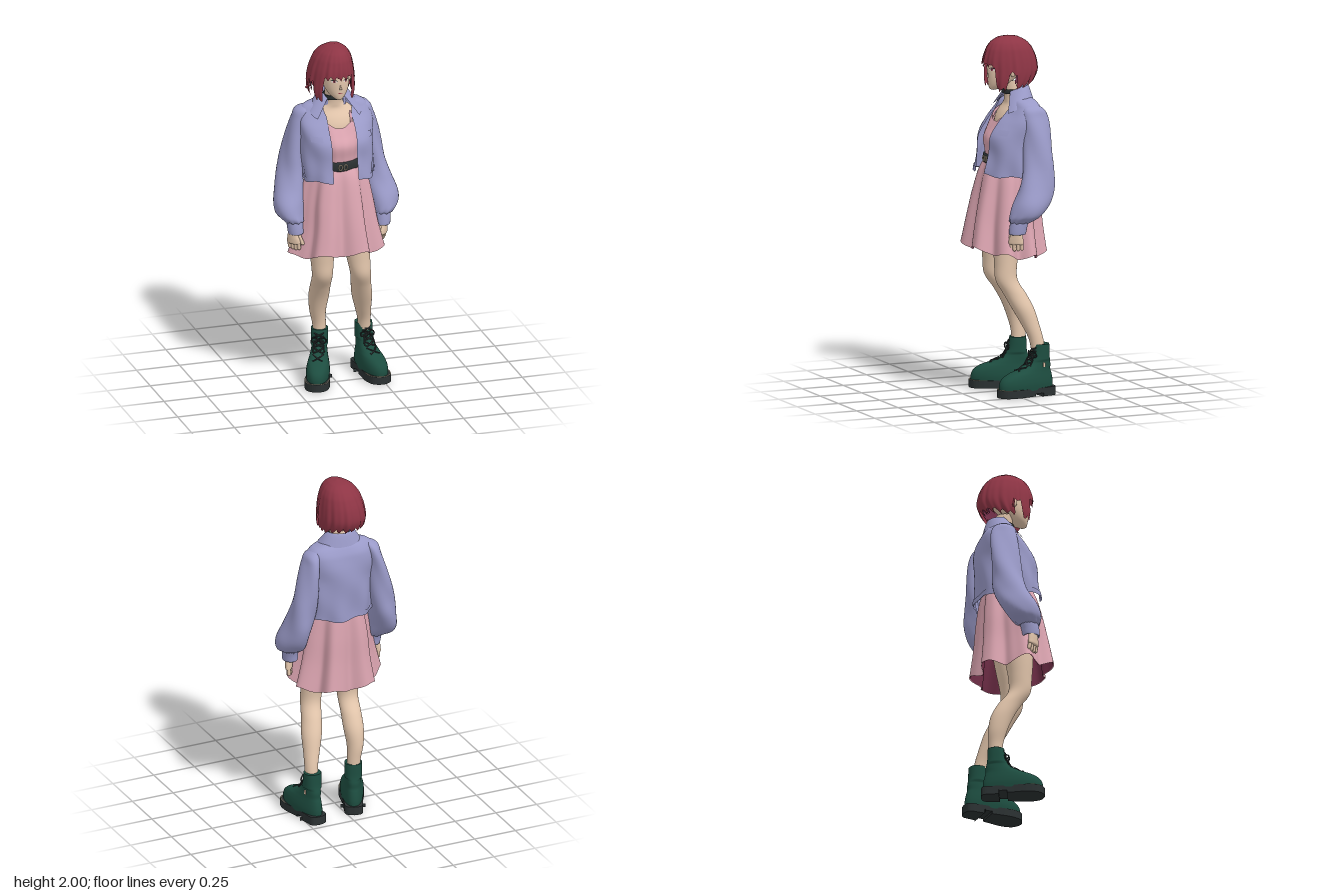
import * as THREE from 'three';

const mat = (name, color, side = THREE.FrontSide) => Object.assign(new THREE.MeshStandardMaterial({ color, side }), { name });
const M = {
  skin: mat('skin', 0xe2c5ab),
  hair: mat('red hair', 0x8e3545, THREE.DoubleSide),
  jacket: mat('lavender cloth', 0x9a9ac8, THREE.DoubleSide),
  dress: mat('pink cloth', 0xdba4b0, THREE.DoubleSide),
  lining: mat('maroon lining', 0x74304a, THREE.DoubleSide),
  boot: mat('green leather', 0x1d4d40),
  dark: mat('dark leather', 0x2b3132, THREE.DoubleSide),
  metal: mat('pale metal', 0xc2b59a),
  white: mat('eye white', 0xf0e6de),
};
const { sin, cos, abs, sign, PI, min, max, floor } = Math;
const smooth = THREE.MathUtils.smoothstep;

// Grid surface from fn(u, v); v runs upwards, u anticlockwise seen from above
function surface(fn, nu, nv, closed = true) {
  const cols = closed ? nu : nu + 1, pos = [], idx = [];
  for (let j = 0; j <= nv; j++) for (let i = 0; i < cols; i++) pos.push(...fn(i / nu, j / nv));
  for (let j = 0; j < nv; j++) for (let i = 0; i < nu; i++) {
    const k = (i + 1) % cols, a = j * cols + i, b = j * cols + k;
    idx.push(a, b, b + cols, a, b + cols, a + cols);
  }
  const g = new THREE.BufferGeometry();
  g.setAttribute('position', new THREE.Float32BufferAttribute(pos, 3));
  g.setIndex(idx);
  g.computeVertexNormals();
  return g;
}
// Smooth blend along rows of [cx, y, cz, rx, rz]
function sample(rows, t) {
  const n = rows.length, f = t * (n - 1), i = min(floor(f), n - 2), k = f - i;
  return rows[0].map((_, c) => {
    const [p, q, r, s] = [-1, 0, 1, 2].map(d => rows[min(n - 1, max(0, i + d))][c]);
    return q + 0.5 * k * (r - p + k * (2 * p - 5 * q + 4 * r - s + k * (3 * (q - r) + s - p)));
  });
}
function sampleY(rows, y) {
  let i = 0;
  while (i < rows.length - 2 && rows[i + 1][1] < y) i++;
  const k = THREE.MathUtils.clamp((y - rows[i][1]) / (rows[i + 1][1] - rows[i][1]), 0, 1);
  const r = sample(rows, (i + k) / (rows.length - 1));
  r[1] = y;
  return r;
}
const ringPoint = ([cx, y, cz, rx, rz], a, e = 2, off = 0) => [
  cx + (rx + off) * sign(sin(a)) * abs(sin(a)) ** (2 / e), y,
  cz + (rz + off) * sign(cos(a)) * abs(cos(a)) ** (2 / e)];
const loft = (rows, nv = 30, e = 2, bump = () => 0, nu = 36) =>
  surface((u, v) => ringPoint(sample(rows, v), u * 2 * PI, e, bump(u * 2 * PI, v)), nu, nv);
const cord = (pts, r) => new THREE.TubeGeometry(new THREE.CatmullRomCurve3(pts.map(p => new THREE.Vector3(...p))), 16, r, 6);

function add(parent, name, geo, material, pos = [0, 0, 0], rot = [0, 0, 0], scale = [1, 1, 1]) {
  const m = new THREE.Mesh(geo, material);
  m.name = name;
  m.position.set(...pos); m.rotation.set(...rot); m.scale.set(...scale);
  parent.add(m);
}

const headRows = [[-.005, 1.697, .058, .002, .002], [-.005, 1.705, .052, .02, .03], [-.005, 1.73, .03, .048, .06], [-.005, 1.77, .008, .069, .085],
  [-.007, 1.82, -.015, .078, .108], [-.01, 1.88, -.032, .08, .118], [-.01, 1.94, -.035, .07, .095], [-.01, 1.975, -.035, .003, .003]];

function buildHead(g) {
  add(g, 'head', loft(headRows, 40), M.skin);
  add(g, 'nose', new THREE.ConeGeometry(.007, .034, 10), M.skin, [-.005, 1.787, .094], [-.25, 0, 0]);
  const faceZ = (x, y) => {
    const [cx, , cz, rx, rz] = sampleY(headRows, y);
    return cz + rz * Math.sqrt(max(0, 1 - ((x - cx) / rx) ** 2));
  };
  // Thin discs that follow the face
  const patch = (name, x, y, rx, ry, lift, m, bend = 0) => add(g, name, surface((u, v) => {
    const a = u * 2 * PI, r = 1 - v, dx = r * cos(a), px = x + rx * dx, py = y + ry * r * sin(a) - bend * dx * dx;
    return [px, py, faceZ(px, py) + lift];
  }, 20, 4), m);
  for (const s of [-1, 1]) {
    const x = -.005 + s * .034;
    patch('eyeWhite', x, 1.817, .016, .007, .002, M.white);
    patch('iris', x, 1.817, .007, .0072, .004, M.hair);
    patch('pupil', x, 1.817, .003, .004, .005, M.dark);
    patch('lash', x, 1.826, .019, .0025, .005, M.dark, .005);
    patch('brow', x, 1.843, .019, .002, .003, M.hair, .004);
    add(g, 'ear', new THREE.SphereGeometry(.02, 14, 10), M.skin, [-.012 + s * .09, 1.805, -.02], [0, s * .4, 0], [.6, 1.5, .9]);
  }
  patch('mouth', -.005, 1.748, .014, .0025, .002, M.hair);
}

function buildHair(g) {
  const rows = [[-.02, 1.69, -.005, .114, .1], [-.02, 1.72, -.022, .124, .126], [-.02, 1.75, -.034, .13, .147], [-.018, 1.8, -.043, .13, .158], [-.015, 1.87, -.04, .121, .152],
    [-.011, 1.93, -.035, .104, .13], [-.008, 1.965, -.03, .081, .102], [-.005, 1.99, -.025, .046, .06], [-.005, 2, -.022, .001, .001]];
  const saw = (a, n) => abs(((a * n / PI) % 1 + 1) % 1 - .5) * 2;
  // Hem height: fringe, side locks, notch over the ear, jagged back
  const hem = a => {
    const b = abs(a > PI ? a - 2 * PI : a);
    const y = 1.826 - .132 * smooth(b, .64, .76) + .09 * smooth(b, 1.16, 1.26) - .08 * smooth(b, 1.48, 1.6) + .02 * smooth(b, 1.8, 2.8);
    return y + (.022 + .012 * smooth(b, 1.8, 2.4)) * saw(a + .1, 11) + .008 * saw(a, 23);
  };
  add(g, 'bobHair', surface((u, v) => {
    const a = u * 2 * PI, h = hem(a), y = h + (2 - h) * sin(v * PI / 2);
    return ringPoint(sampleY(rows, y), a, 2, (1 - v) ** 2 * (.0025 * sin(22 * a) + .003 * sin(13 * a + 1)) + .003 * sin(PI * v) * sin(3 * a + 1));
  }, 264, 28), M.hair);
  // Shaded inner layer behind the neck
  add(g, 'innerHair', surface((u, v) => {
    const a = 1.5 + u * (2 * PI - 3), y = 1.735 + .03 * saw(a, 13) + .13 * v;
    return ringPoint(sampleY(rows, y), a, 2, -.016);
  }, 120, 6, false), M.lining);
  add(g, 'strayLock', cord([[-.13, 1.83, -.03], [-.146, 1.79, -.035], [-.15, 1.765, -.04], [-.164, 1.75, -.045]], .006), M.hair);
}

function buildBody(g) {
  add(g, 'chestAndNeck', loft([[.005, 1.44, -.04, .12, .09], [.005, 1.52, -.055, .135, .1], [.005, 1.57, -.062, .13, .088], [.003, 1.615, -.066, .095, .062],
    [0, 1.645, -.06, .056, .054], [0, 1.69, -.052, .05, .051], [-.003, 1.75, -.04, .05, .05]], 30), M.skin);
  add(g, 'choker', loft([[0, 1.675, -.054, .055, .056], [0, 1.677, -.054, .06, .061], [0, 1.699, -.051, .06, .061], [0, 1.701, -.051, .055, .056]], 9), M.dark);
  // The left knee is carried further forward than the right
  const legs = {
    rightLeg: [[-.06, .24, -.112, .037, .039], [-.064, .32, -.115, .038, .041], [-.074, .4, -.108, .046, .052], [-.076, .49, -.083, .056, .062], [-.08, .57, -.04, .056, .064],
      [-.086, .65, .015, .057, .062], [-.088, .74, .02, .064, .066], [-.087, .86, .013, .075, .08], [-.085, 1.02, 0, .082, .09]],
    leftLeg: [[.2, .24, -.122, .036, .039], [.195, .32, -.108, .037, .041], [.18, .4, -.08, .046, .05], [.162, .49, -.043, .057, .062], [.144, .57, -.003, .056, .064],
      [.128, .65, .04, .057, .062], [.116, .74, .04, .065, .064], [.104, .86, .025, .075, .078], [.09, 1.02, 0, .082, .09]],
  };
  for (const name in legs) add(g, name, loft(legs[name], 48), M.skin);
  for (const s of [-1, 1]) {
    const hand = new THREE.Group();
    hand.name = s > 0 ? 'leftHand' : 'rightHand';
    hand.position.set(s * .262, 0, .038);
    hand.rotation.y = s * -.65;
    g.add(hand);
    add(hand, 'palm', loft([[0, .868, .003, .003, .003], [0, .871, .003, .017, .04], [0, .895, .003, .02, .041], [0, .92, 0, .021, .034], [0, .96, 0, .023, .025]], 20), M.skin);
    for (let i = 0; i < 4; i++)
      add(hand, 'finger', new THREE.CapsuleGeometry(.0105, .044, 4, 8), M.skin, [-s * .004, .86 + abs(i - 1.6) * .005, -.028 + i * .021], [0, 0, -s * .12]);
    add(hand, 'thumb', new THREE.CapsuleGeometry(.011, .042, 4, 8), M.skin, [-s * .014, .893, .043], [-.35, 0, -s * .2]);
  }
}

function buildDress(g) {
  const bodice = [[.005, 1.29, -.02, .125, .118], [.005, 1.36, -.02, .13, .125], [.005, 1.43, -.025, .145, .138], [.005, 1.49, -.04, .15, .122], [.005, 1.535, -.052, .143, .108]];
  // Scooped neckline rising to the straps
  add(g, 'bodice', surface((u, v) => {
    const a = u * 2 * PI, f = max(0, cos(a));
    const p = ringPoint(sample(bodice, v), a, 2, .003 * (1 - v) * sin(16 * a));
    p[1] += smooth(v, .5, 1) * f * (.03 * smooth(abs(sin(a)), .12, .5) - .01);
    return p;
  }, 72, 24), M.dress);
  for (const s of [-1, 1])
    add(g, 'strap', cord([[.005 + s * .068, 1.53, .046], [.005 + s * .075, 1.575, .015], [.005 + s * .08, 1.6, -.06], [.005 + s * .075, 1.53, -.145]], .007), M.dress);
  const skirt = [[0, .8, .004, .25, .207], [0, .95, 0, .216, .189], [0, 1.1, -.01, .195, .172], [.004, 1.24, -.018, .165, .15], [.005, 1.315, -.02, .128, .122]];
  // Deep folds that fade out towards the waist
  const folds = off => surface((u, v) => {
    const a = u * 2 * PI, f = (1 - v) ** .8, wave = cos(7 * a + .5 + 1.2 * (1 - cos(a)));
    const p = ringPoint(sample(skirt, v), a, 2, off + f * (-.027 * wave + .005 * sin(15 * a)));
    p[1] += f * f * (.022 * cos(a) + .008 * cos(2 * a) - .016 * wave - .003);
    return p;
  }, 168, 30);
  add(g, 'skirt', folds(0), M.dress);
  add(g, 'skirtLining', folds(-.005), M.lining);
  add(g, 'belt', loft([[.005, 1.29, -.02, .124, .117], [.005, 1.292, -.02, .139, .134], [.005, 1.338, -.02, .139, .134], [.005, 1.34, -.02, .124, .117]], 9, 2, undefined, 48), M.dark);
  for (const x of [-.012, .018])
    add(g, 'buckleRing', new THREE.TorusGeometry(.013, .003, 6, 20), M.metal, [x, 1.315, .118], [0, x, 0], [.8, 1.2, 1]);
}

function buildJacket(g) {
  const rows = [[.01, 1.235, -.02, .2, .176], [.01, 1.35, -.03, .205, .17], [.01, 1.45, -.036, .207, .165], [.01, 1.53, -.06, .212, .137],
    [.01, 1.6, -.083, .2, .1], [.01, 1.64, -.083, .168, .077], [.004, 1.668, -.075, .085, .06]];
  const edge = y => .33 + .12 * smooth(y, 1.58, 1.64) + .4 * smooth(y, 1.63, 1.668);
  const shell = (y0, y1, off, nv) => surface((u, v) => {
    const y = y0 + (y1 - y0) * v, e = edge(y), a = e + u * 2 * (PI - e), low = 1 - smooth(y, 1.235, 1.45);
    const p = ringPoint(sampleY(rows, y), a, 2.15, off + .006 * low * sin(9 * a) + .003 * sin(5 * a + y * 25));
    p[1] += low * (.014 * cos(a) - .004 + .006 * sin(6 * a));
    return p;
  }, 96, nv, false);
  add(g, 'jacketBody', shell(1.235, 1.668, 0, 36), M.jacket);
  add(g, 'jacketHem', shell(1.232, 1.262, .005, 4), M.jacket);
  // Pocket flaps
  for (const a0 of [.55, -.95]) add(g, 'pocketFlap', surface((u, v) =>
    ringPoint(sampleY(rows, 1.465 + .03 * v), a0 + .4 * u, 2.15, .004), 10, 6, false), M.jacket);
  // Turned-down collar with front points
  const fold = [[.07, 1.652, 0, .074, .06], [0, 1.712, 0, .07, .06], [0, 1.71, 0, .083, .072], [0, 1.645, 1, .125, .09]];
  add(g, 'collar', surface((u, v) => {
    const a = .66 + u * 2 * (PI - .66), [, y, drop, rx, rz] = sample(fold, v), f = max(0, cos(a));
    return [.004 + (rx + .09 * f * drop) * sin(a), y - .035 * f - .045 * f * drop, -.07 + (rz + .045 * f * drop) * cos(a)];
  }, 60, 18, false), M.jacket);
  for (const s of [-1, 1]) {
    const side = s > 0 ? 'left' : 'right', at = (x, ...r) => [.006 + s * x, ...r];
    add(g, side + 'Sleeve', loft([at(.255, .99, .018, .042, .05), at(.26, 1.004, .01, .06, .068), at(.272, 1.035, -.015, .079, .092), at(.273, 1.095, -.045, .083, .107),
      at(.256, 1.18, -.08, .077, .101), at(.24, 1.27, -.1, .07, .088), at(.226, 1.36, -.108, .063, .084), at(.207, 1.47, -.108, .054, .08),
      at(.188, 1.56, -.103, .045, .074), at(.173, 1.612, -.096, .038, .056), at(.14, 1.642, -.088, .004, .006)], 60, 2,
      (a, v) => .006 * sin(PI * v) * sin(3 * a + 14 * v) + .006 * (1 - smooth(v, 0, .25)) * sin(9 * a)), M.jacket);
    add(g, side + 'Cuff', loft([at(.252, .928, .032, .036, .04), at(.252, .93, .032, .042, .048), at(.254, .965, .027, .044, .05), at(.255, 1.003, .018, .045, .052), at(.255, 1.006, .018, .04, .046)], 20), M.jacket);
  }
}

function buildBoot(g, name, x, z, yaw) {
  const b = new THREE.Group();
  b.name = name;
  b.position.set(x, 0, z);
  b.rotation.y = yaw;
  g.add(b);
  const upper = [[0, .04, .09, .063, .166], [0, .075, .09, .067, .167], [0, .105, .085, .065, .158], [0, .13, .07, .06, .137], [0, .15, .045, .055, .106], [0, .18, .014, .05, .075],
    [0, .22, .002, .048, .055], [0, .285, -.003, .048, .047], [0, .292, -.003, .043, .042], [0, .288, -.003, .004, .004]];
  const geo = loft(upper, 54, 2.3), p = geo.attributes.position;
  for (let i = 0; i < p.count; i++) if (p.getY(i) < .2) p.setX(i, p.getX(i) * (.84 + .16 * smooth(p.getZ(i), -.05, .15)));
  geo.computeVertexNormals();
  add(b, 'upper', geo, M.boot);
  // Sole slabs cut from one outline
  const half = [[.045, -.072], [.053, -.01], [.06, .08], [.07, .17], [.054, .24]];
  const outline = new THREE.SplineCurve([[0, -.088], ...half, [0, .268], ...half.map(([a, c]) => [-a, c]).reverse(), [0, -.088]]
    .map(([a, c]) => new THREE.Vector2(a, -c))).getPoints(60);
  const slab = (part, y0, y1, keep) => {
    const pts = outline.slice(0, -1).map(q => new THREE.Vector2(q.x, THREE.MathUtils.clamp(q.y, ...keep)));
    add(b, part, new THREE.ExtrudeGeometry(new THREE.Shape(pts), { depth: y1 - y0, bevelEnabled: false }).rotateX(-PI / 2), M.dark, [0, y0, 0]);
  };
  slab('sole', .022, .052, [-1, 1]);
  slab('heel', .003, .024, [-.015, 1]);
  slab('frontTread', .008, .024, [-1, -.06]);
  // Pale stitching round the toe
  add(b, 'toeStitch', cord(outline.filter(q => q.y < -.16).map(q => [q.x * .97, .052, -q.y - .003]), .0025), M.metal);
  // Laces
  const front = y => { const r = sampleY(upper, y); return r[2] + r[4]; };
  for (let i = 0; i < 5; i++) for (const s of [-1, 1]) {
    const y = .148 + i * .026, w = .028;
    add(b, 'lace', cord([[-s * w, y, front(y) - .008], [0, y + .011, front(y + .011) + .004], [s * w, y + .022, front(y + .022) - .008]], .0045), M.dark);
  }
  for (const s of [-1, 1]) {
    add(b, 'bowLoop', new THREE.TorusGeometry(.019, .004, 6, 16), M.dark, [s * .022, .238, front(.24) + .008], [0, s * .5, s * -.4], [1.2, .8, 1]);
    add(b, 'laceEnd', cord([[0, .24, front(.24) + .004], [s * .025, .215, front(.22) + .006], [s * .032, .175, front(.18) - .006]], .004), M.dark);
  }
  return b;
}

export function createModel() {
  const g = new THREE.Group();
  g.name = 'girlInJacket';
  buildHead(g);
  buildHair(g);
  buildBody(g);
  buildDress(g);
  buildJacket(g);
  buildBoot(g, 'rightBoot', -.063, -.108, -.38);
  const left = buildBoot(g, 'leftBoot', .2, -.13, .13);
  // Small pale tag on the outer ankle
  add(left, 'ankleTag', new THREE.BoxGeometry(.006, .024, .014), M.skin, [.046, .178, 0]);
  return g;
}
